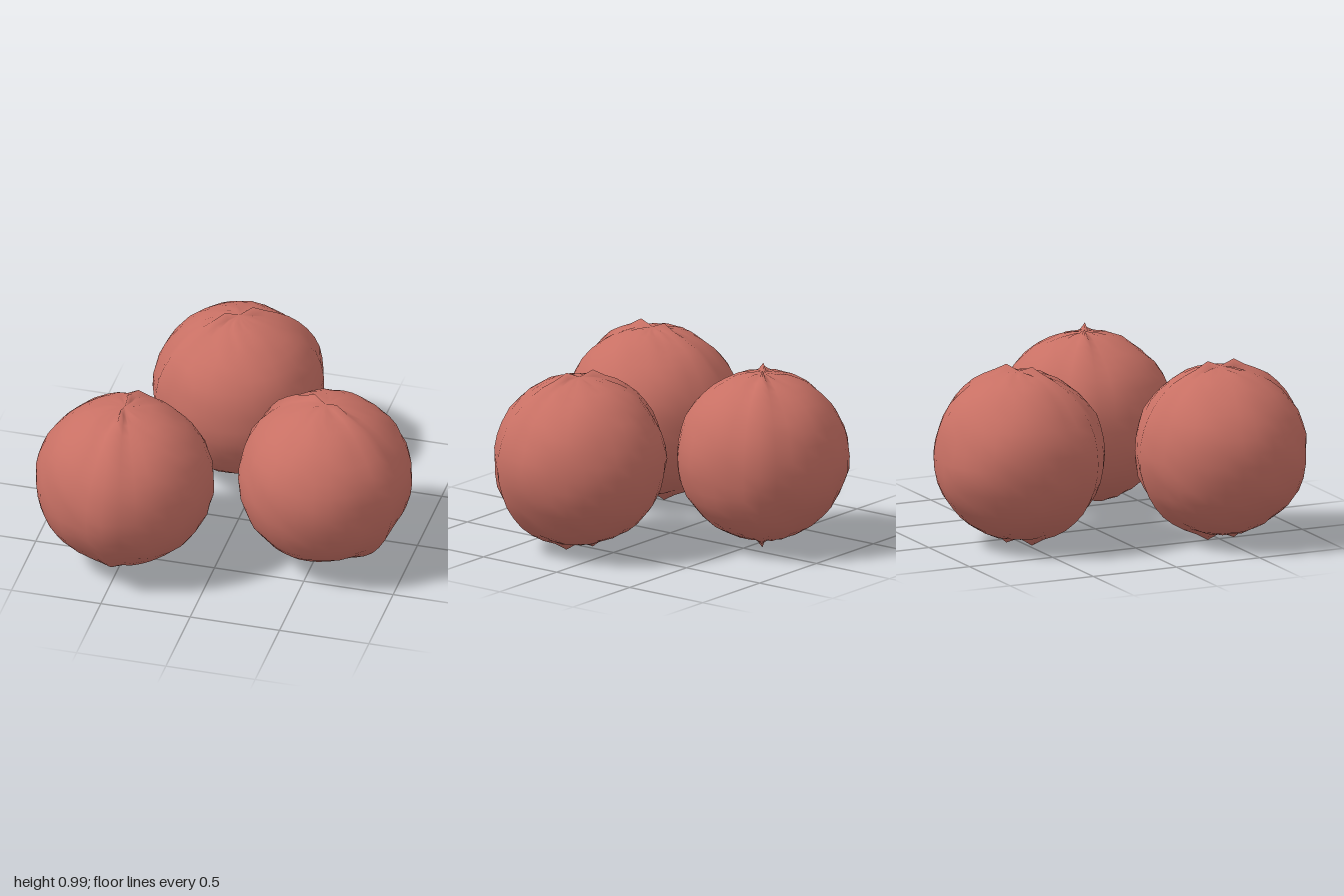
import * as THREE from 'three';
import { mergeVertices } from 'three/addons/utils/BufferGeometryUtils.js';

// Small repeatable random generator
function seeded(seed) {
  let s = seed;
  return () => {
    s = (s * 16807) % 2147483647;
    return s / 2147483647;
  };
}

// Lumpy ball with a raised seam running pole to pole along local +z and -z
function lumpyBall(seed, wide) {
  const cols = 32, rows = 20;
  const rand = seeded(seed);
  const jitter = Array.from({ length: (cols + 1) * (rows + 1) }, () => rand() - 0.5);
  const geo = new THREE.SphereGeometry(1, cols, rows);
  geo.deleteAttribute('uv');
  geo.deleteAttribute('normal');
  const pos = geo.attributes.position;
  const v = new THREE.Vector3();
  for (let i = 0; i < pos.count; i++) {
    const row = Math.floor(i / (cols + 1));
    const col = (i % (cols + 1)) % cols;
    v.fromBufferAttribute(pos, i);
    let r = 0.464;
    if (row > 0 && row < rows) {
      r += 0.009 * jitter[row * (cols + 1) + col];
      r += 0.005 * Math.sin(5 * v.x + seed) * Math.cos(6 * v.y + 4 * v.z);
      r += wide * v.x * v.x;
      // One raised column of vertices on each side forms the seam
      if (col === cols / 4 || col === (3 * cols) / 4) {
        const nearPole = row === 1 || row === rows - 1;
        r = nearPole ? 0.502 : 0.478 + 0.01 * Math.abs(v.z) + 0.006 * jitter[row];
      }
    }
    v.multiplyScalar(r);
    pos.setXYZ(i, v.x, v.y, v.z);
  }
  const merged = mergeVertices(geo, 1e-4);
  merged.computeVertexNormals();
  return merged;
}

export function createModel() {
  const group = new THREE.Group();
  group.name = 'lumpyBalls';
  const clay = new THREE.MeshStandardMaterial({ color: 0xc87064 });
  clay.name = 'dusty red';

  // Position and seam direction of each ball
  const balls = [
    { name: 'frontRightBall', x: -0.5, z: 0.51, seam: [0, 1], wide: 0.022, seed: 11 },
    { name: 'backBall', x: -0.14, z: -0.525, seam: [0.39, -0.28], wide: 0.004, seed: 29 },
    { name: 'leftBall', x: 0.54, z: 0.2, seam: [0.43, 0.22], wide: 0.014, seed: 47 },
  ];
  for (const b of balls) {
    const mesh = new THREE.Mesh(lumpyBall(b.seed, b.wide), clay);
    mesh.name = b.name;
    mesh.position.set(b.x, 0.5, b.z);
    mesh.rotation.y = Math.atan2(b.seam[0], b.seam[1]);
    group.add(mesh);
  }
  return group;
}
